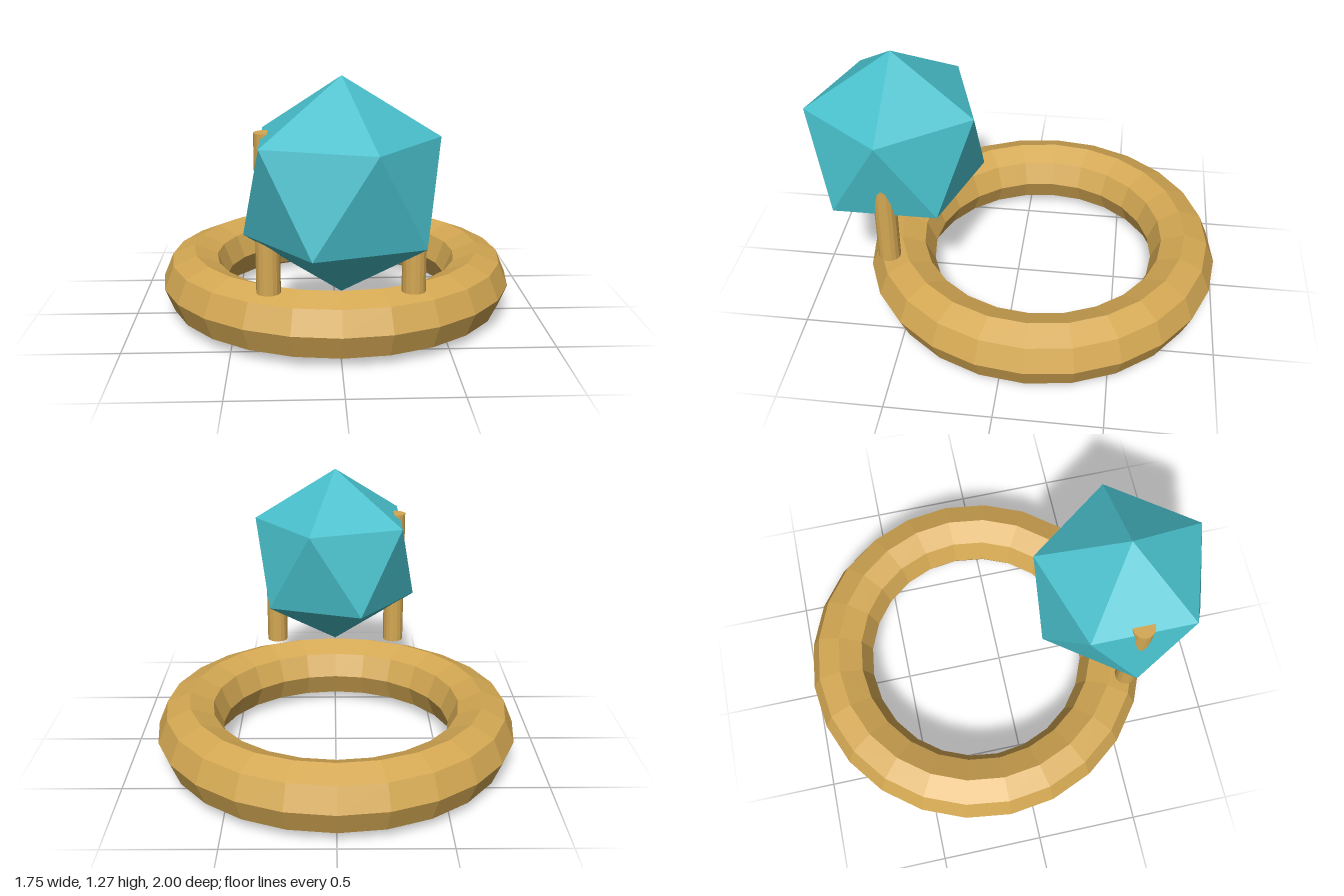
import * as THREE from 'three';
import { ConvexGeometry } from 'three/addons/geometries/ConvexGeometry.js';

export function createModel() {
  const model = new THREE.Group();
  model.name = 'gemRing';

  const gold = new THREE.MeshStandardMaterial({ color: 0xd4a853, flatShading: true });
  gold.name = 'gold';
  const teal = new THREE.MeshStandardMaterial({ color: 0x48bfcb, flatShading: true });
  teal.name = 'teal';

  const add = (name, geometry, material, x, y, z) => {
    const mesh = new THREE.Mesh(geometry, material);
    mesh.name = name;
    mesh.position.set(x, y, z);
    model.add(mesh);
    return mesh;
  };

  // Band lying flat, with an octagonal section
  const band = new THREE.TorusGeometry(0.714, 0.16, 8, 24).rotateX(Math.PI / 2);
  add('band', band, gold, 0, 0.16, -0.126);

  // Two prongs standing on the front of the band
  const prong = new THREE.CylinderGeometry(0.054, 0.054, 0.715, 16);
  for (const side of [1, -1]) {
    add(side > 0 ? 'leftProng' : 'rightProng', prong, gold, side * 0.32, 0.6775, 0.595);
  }

  // Icosahedral gem balanced on its point: two poles and two staggered rings of five
  const R = 0.476;
  const points = [new THREE.Vector3(0, R, 0), new THREE.Vector3(0, -R, 0)];
  for (let i = 0; i < 5; i++) {
    const a = (i * Math.PI * 2) / 5;
    const r = (2 * R) / Math.sqrt(5);
    const upper = new THREE.Vector3(r * Math.cos(a), r / 2, r * Math.sin(a));
    points.push(upper, upper.clone().negate());
  }
  add('gem', new ConvexGeometry(points), teal, 0, 0.799, 0.595);

  return model;
}
